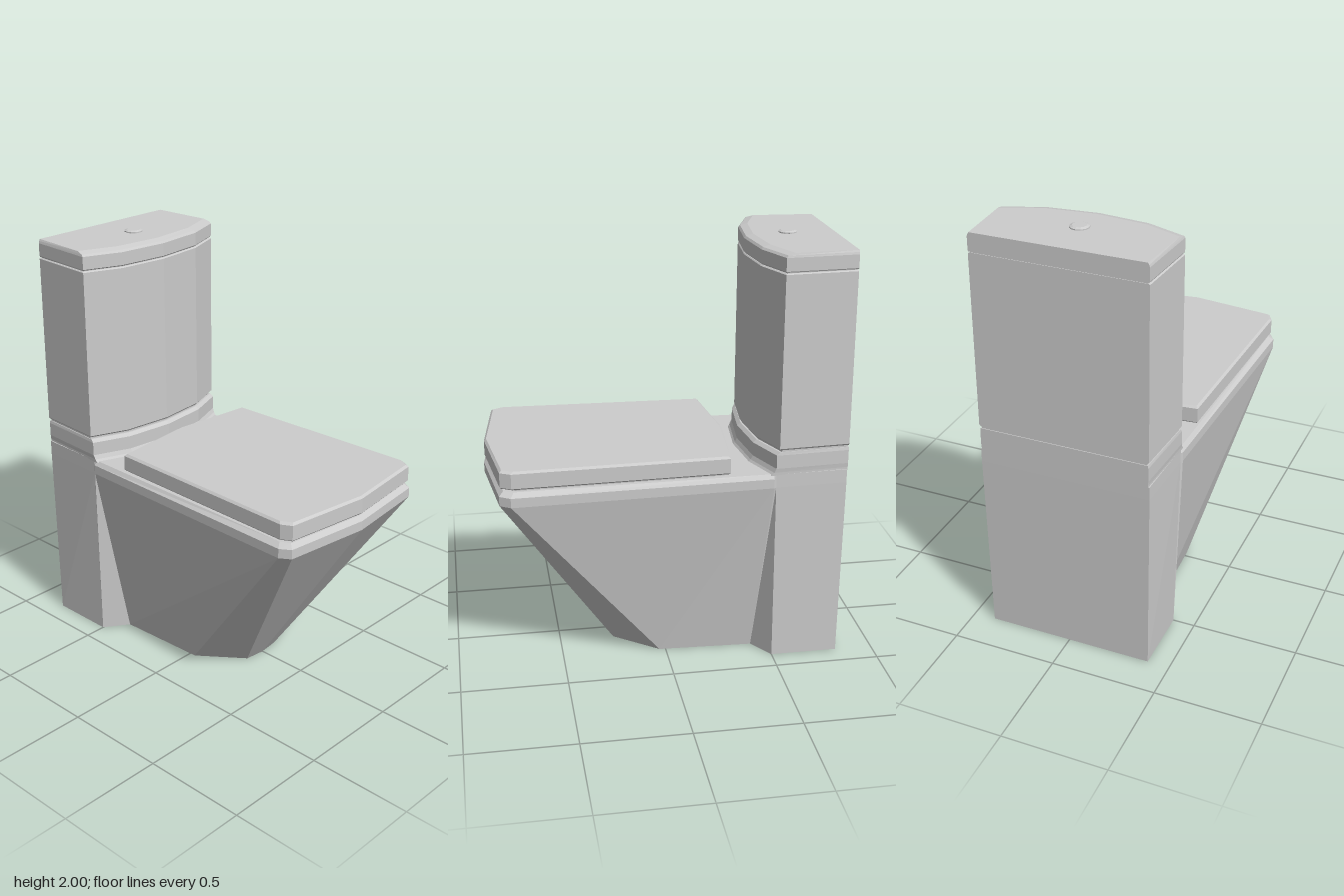
import * as THREE from 'three';

const ceramic = new THREE.MeshStandardMaterial({ color: 0xcccccc, flatShading: true, side: THREE.DoubleSide });
ceramic.name = 'ceramic';

// Half outlines run from the front centre along +x to the back, as [x, z].
const mirror = half => [
  ...half,
  ...half.filter(p => p[0] > 0).reverse().map(([x, z]) => [-x, z]),
  ...(half[half.length - 1][0] === 0 ? [] : []),
];

// Pulls an outline in by dx at the sides, by dz at the front and by db at the back.
const inset = (half, dx, dz, db = 0, backFrom = -0.8) =>
  half.map(([x, z]) => [x > 0 ? x - dx : 0, z < backFrom ? z + db : z - dz]);

// Skins horizontal sections [y, halfOutline], with optional caps.
function loft(name, sections, capBottom = true) {
  const rings = sections.map(([y, half]) => mirror(half).map(([x, z]) => [x, y, z]));
  const n = rings[0].length, pos = [];
  for (let s = 0; s < rings.length - 1; s++) {
    for (let i = 0; i < n; i++) {
      const j = (i + 1) % n, a = rings[s], b = rings[s + 1];
      pos.push(...a[i], ...a[j], ...b[j], ...a[i], ...b[j], ...b[i]);
    }
  }
  const cap = (ring, flip) => {
    const pts = ring.map(p => new THREE.Vector2(p[0], -p[2]));
    for (const [a, b, c] of THREE.ShapeUtils.triangulateShape(pts, [])) {
      pos.push(...ring[a], ...ring[flip ? c : b], ...ring[flip ? b : c]);
    }
  };
  cap(rings[rings.length - 1], false);
  if (capBottom) cap(rings[0], true);
  const geo = new THREE.BufferGeometry();
  geo.setAttribute('position', new THREE.Float32BufferAttribute(pos, 3));
  geo.computeVertexNormals();
  const mesh = new THREE.Mesh(geo, ceramic);
  mesh.name = name;
  return mesh;
}

export function createModel() {
  const group = new THREE.Group();
  group.name = 'toilet';

  // Tapering bowl and rear pedestal, open underneath
  const foot = [[0, 0.25], [0.1, 0.238], [0.26, 0.03], [0.28, -0.42], [0.395, -0.5], [0.395, -0.82]];
  const rim = [[0, 0.83], [0.42, 0.78], [0.452, 0.73], [0.42, -0.48], [0.413, -0.49], [0.403, -0.828]];
  const rimTop = [[0, 0.81], [0.405, 0.76], [0.427, 0.715], [0.405, -0.48], [0.413, -0.49], [0.403, -0.828]];
  group.add(loft('bowl', [[0, foot], [0.89, rim], [0.935, rim], [0.955, rimTop]], false));

  // Closed seat lid with a slim recessed seat beneath it
  const lid = [[0, 0.826], [0.412, 0.775], [0.438, 0.725], [0.41, -0.275], [0, -0.315]];
  const lidInset = d => inset(lid, d, d, d, -0.2);
  group.add(loft('seat', [[0.95, lidInset(0.025)], [0.972, lidInset(0.025)]]));
  group.add(loft('seatLid', [[0.968, lidInset(0.006)], [0.975, lid], [1.045, lid], [1.055, lidInset(0.01)]]));

  // Curved-front shelf that carries the cistern
  const tank = [[0, -0.405], [0.24, -0.43], [0.42, -0.5], [0.402, -0.832]];
  group.add(loft('cisternShelf', [
    [0.95, inset(tank, 0.005, -0.035)],
    [0.965, inset(tank, 0.005, -0.022)],
    [0.985, inset(tank, 0.003, -0.012)],
    [1.05, inset(tank, 0.003, -0.012)],
    [1.064, inset(tank, 0.006, 0.004)],
  ]));
  group.add(loft('shelfNeck', [[1.06, inset(tank, 0.01, 0.012, 0.004)], [1.08, inset(tank, 0.01, 0.012, 0.004)]]));

  // Cistern body, seam and lid
  group.add(loft('cistern', [
    [1.074, inset(tank, 0.006, 0.006)], [1.082, tank], [1.893, tank], [1.898, inset(tank, 0.005, 0.005)],
  ]));
  group.add(loft('cisternSeam', [[1.89, inset(tank, 0.008, 0.008, 0.003)], [1.91, inset(tank, 0.008, 0.008, 0.003)]]));
  group.add(loft('cisternLid', [
    [1.902, inset(tank, 0.003, 0.004)], [1.907, tank], [1.968, tank],
    [1.978, inset(tank, 0.003, 0.008)], [1.987, inset(tank, 0.008, 0.042)],
  ]));

  // Flush button: collar and domed cap
  const profile = [[0.036, 1.984], [0.036, 1.988], [0.044, 1.99], [0.044, 1.995], [0.032, 2], [0, 2]];
  const button = new THREE.Mesh(
    new THREE.LatheGeometry(profile.map(([r, y]) => new THREE.Vector2(r, y)), 12), ceramic);
  button.name = 'flushButton';
  button.position.z = -0.61;
  group.add(button);

  return group;
}
